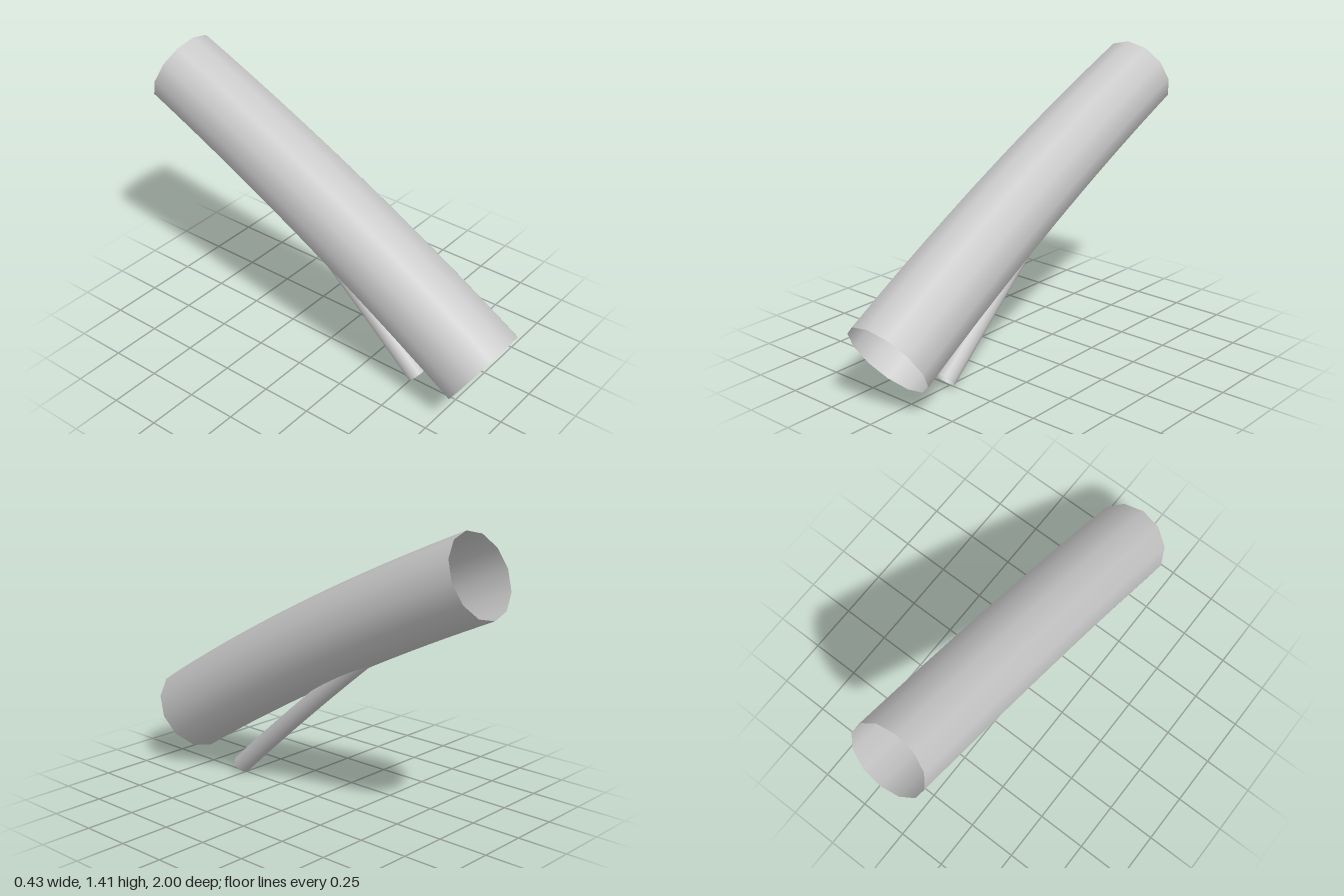
import * as THREE from 'three';

// Open tube along a bent centre line in the YZ plane, tapering from r0 to r1
function taperedTube(name, points, r0, r1, segments, sides, material) {
  const curve = new THREE.QuadraticBezierCurve3(
    ...points.map(([y, z]) => new THREE.Vector3(0, y, z)));
  const geometry = new THREE.TubeGeometry(curve, segments, 1, sides, false);
  const pos = geometry.attributes.position;
  const v = new THREE.Vector3();
  for (let i = 0; i <= segments; i++) {
    const t = i / segments;
    const centre = curve.getPointAt(t);
    const radius = THREE.MathUtils.lerp(r0, r1, t);
    for (let j = 0; j <= sides; j++) {
      const k = i * (sides + 1) + j;
      v.fromBufferAttribute(pos, k).sub(centre).multiplyScalar(radius).add(centre);
      pos.setXYZ(k, v.x, v.y, v.z);
    }
  }
  const mesh = new THREE.Mesh(geometry, material);
  mesh.name = name;
  return mesh;
}

export function createModel() {
  const group = new THREE.Group();
  group.name = 'branchingTube';
  const grey = new THREE.MeshStandardMaterial({ color: 0xc8c8c8, side: THREE.DoubleSide });
  grey.name = 'lightGrey';

  // Wide main tube, gently arched from low front to high back
  group.add(taperedTube('mainTube',
    [[0.2675, 0.885], [0.813, 0.02], [1.23, -0.92]], 0.216, 0.197, 24, 12, grey));

  // Thin side branch rising into the underside of the main tube
  group.add(taperedTube('sideBranch',
    [[0.04, 0.528], [0.46, 0.07], [0.84, -0.4]], 0.049, 0.043, 16, 12, grey));

  return group;
}
